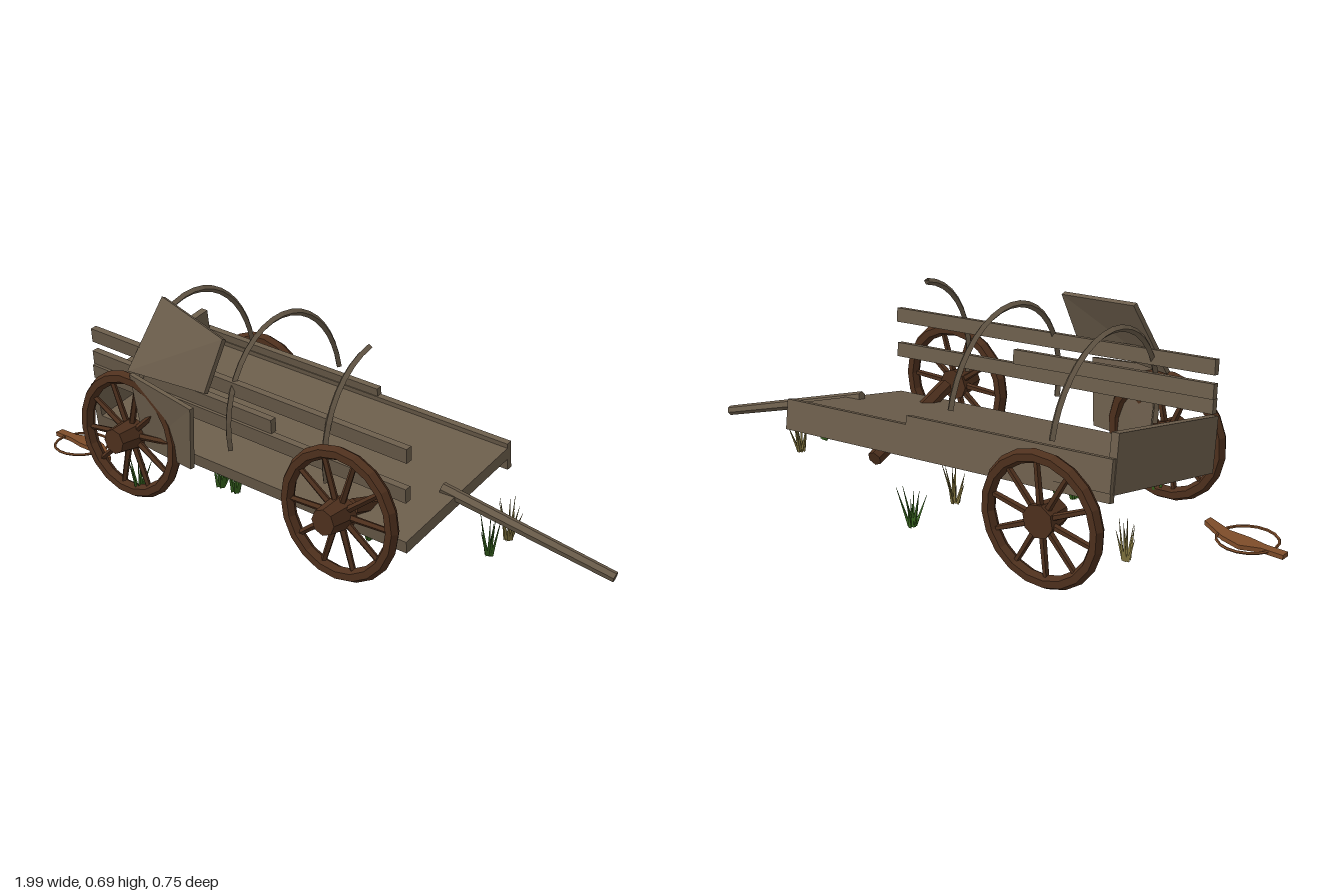
import * as THREE from 'three';

const mat = (name, color) => {
  const m = new THREE.MeshStandardMaterial({ color, flatShading: true, side: THREE.DoubleSide });
  m.name = name;
  return m;
};

export function createModel() {
  const root = new THREE.Group();
  root.name = 'brokenWagon';
  const wood = mat('weatheredWood', 0x6b5d4b);
  const dark = mat('darkWood', 0x4e301d);
  const tan = mat('tanWood', 0x7d4c29);
  const green = mat('greenGrass', 0x38651f);
  const dry = mat('dryGrass', 0x81743f);

  const add = (parent, name, geo, m, x = 0, y = 0, z = 0) => {
    const mesh = new THREE.Mesh(geo, m);
    mesh.name = name;
    mesh.position.set(x, y, z);
    parent.add(mesh);
    return mesh;
  };
  const box = (parent, name, m, size, pos) => add(parent, name, new THREE.BoxGeometry(...size), m, ...pos);

  // Straight pole between two points
  const pole = (parent, name, m, a, b, r0, r1, sides) => {
    const p = new THREE.Vector3(...a), q = new THREE.Vector3(...b);
    const d = q.clone().sub(p);
    const mesh = add(parent, name, new THREE.CylinderGeometry(r1, r0, d.length(), sides), m);
    mesh.position.copy(p).add(q).multiplyScalar(0.5);
    mesh.quaternion.setFromUnitVectors(new THREE.Vector3(0, 1, 0), d.normalize());
    return mesh;
  };

  // Board from four corners (counter-clockwise from its face) with a thickness
  const slab = (name, m, corners, t) => {
    const v = corners.map(c => new THREE.Vector3(...c));
    const n = v[2].clone().sub(v[0]).cross(v[3].clone().sub(v[1])).normalize().multiplyScalar(-t);
    const pts = [...v, ...v.map(c => c.clone().add(n))];
    const geo = new THREE.BufferGeometry().setFromPoints(pts);
    const idx = [0, 1, 2, 0, 2, 3, 4, 6, 5, 4, 7, 6];
    for (let i = 0; i < 4; i++) {
      const j = (i + 1) % 4;
      idx.push(i, i + 4, j, j, i + 4, j + 4);
    }
    geo.setIndex(idx);
    const flat = geo.toNonIndexed();
    flat.computeVertexNormals();
    add(root, name, flat, m);
  };

  // Sagging bed with tailboard and back side boards
  const bed = new THREE.Group();
  bed.name = 'wagonBed';
  bed.position.set(-0.09, 0.258, -0.02);
  bed.rotation.set(0.212, 0, -0.071);
  root.add(bed);
  box(bed, 'bedFloor', wood, [1.2, 0.04, 0.53], [0, 0, 0]);
  box(bed, 'tailboard', wood, [0.025, 0.17, 0.53], [-0.59, 0.047, 0]);
  box(bed, 'backSideBoard', wood, [1.2, 0.095, 0.02], [0, -0.012, -0.268]);
  box(bed, 'backShortBoard', wood, [0.72, 0.095, 0.02], [-0.24, 0.015, -0.271]);

  // Front side rails, the middle one broken off short
  for (const [name, x, y, len] of [
    ['upperRail', -0.085, 0.49, 1.2], ['brokenRail', -0.325, 0.433, 0.72], ['lowerRail', -0.085, 0.37, 1.2]]) {
    box(root, name, wood, [len, 0.046, 0.022], [x, y, 0.242]).rotation.set(0.15, 0, -0.071);
  }

  // Cover hoops: flat-sided half ellipses, the last one snapped at the top
  const hoop = (x, share) => {
    const pts = [];
    const steps = Math.round(20 * share);
    for (let i = 0; i <= steps; i++) {
      const a = Math.PI * i / 20;
      pts.push(new THREE.Vector3(0, 0.302 * Math.sin(a), 0.266 * Math.cos(a)));
    }
    const geo = new THREE.TubeGeometry(new THREE.CatmullRomCurve3(pts), steps, 0.0105, 4);
    add(root, 'coverHoop', geo, wood, x, 0.357, 0.005).rotation.x = 0.21;
  };
  hoop(-0.47, 1);
  hoop(-0.11, 1);
  hoop(0.25, 0.5);

  // Loose boards leaning on the front side
  slab('leaningBoard', wood, [[-0.5, 0.465, 0.292], [-0.16, 0.485, 0.32], [-0.13, 0.645, 0.268], [-0.44, 0.69, 0.192]], 0.015);
  slab('hangingBoard', wood, [[-0.45, 0.225, 0.28], [-0.23, 0.22, 0.312], [-0.2, 0.43, 0.34], [-0.47, 0.468, 0.315]], 0.015);

  // Spoked wheels
  const wheel = (x, y, z, turn) => {
    const g = new THREE.Group();
    g.name = 'wheel';
    g.position.set(x, y, z);
    g.rotation.z = turn;
    root.add(g);
    add(g, 'rim', new THREE.TorusGeometry(0.186, 0.0215, 6, 20), dark);
    add(g, 'hub', new THREE.CylinderGeometry(0.04, 0.052, 0.092, 8), dark, 0, 0, 0.027).rotation.x = Math.PI / 2;
    for (let i = 0; i < 10; i++) {
      const a = i * Math.PI / 5, c = Math.cos(a), s = Math.sin(a);
      pole(g, 'spoke', dark, [0.03 * c, 0.03 * s, 0], [0.185 * c, 0.185 * s, 0], 0.011, 0.009, 5);
    }
  };
  wheel(-0.495, 0.258, 0.296, 0.1);
  wheel(0.32, 0.234, 0.296, 0);
  wheel(-0.493, 0.208, -0.329, 0.2);

  // Broken axle and tongue
  pole(root, 'brokenAxle', dark, [0.325, 0.238, 0.245], [0.295, 0.115, -0.14], 0.025, 0.025, 6);
  pole(root, 'tongue', wood, [0.46, 0.243, -0.012], [0.99, 0.093, -0.097], 0.019, 0.016, 6);

  // Fallen yoke with its bow ring
  const yoke = new THREE.Shape([
    [-1, -0.12], [-0.93, -0.122], [-0.87, -0.1], [-0.8, -0.123], [-0.71, -0.18],
    [-0.712, -0.21], [-0.8, -0.17], [-0.87, -0.165], [-0.93, -0.152], [-1, -0.15]
  ].map(p => new THREE.Vector2(...p)));
  const yokeGeo = new THREE.ExtrudeGeometry(yoke, { depth: 0.014, bevelEnabled: false });
  add(root, 'yokeBeam', yokeGeo, tan, 0, 0.068, 0).rotation.x = -Math.PI / 2;
  add(root, 'yokeBow', new THREE.TorusGeometry(0.09, 0.0045, 5, 18), tan, -0.867, 0.077, 0.157).rotation.x = Math.PI / 2;

  // Grass tufts
  let seed = 7;
  const rnd = () => (seed = (seed * 16807) % 2147483647) / 2147483647;
  const tuft = (x, z, m, h) => {
    const g = new THREE.Group();
    g.name = 'grassTuft';
    g.position.set(x, 0.065, z);
    root.add(g);
    for (let i = 0; i < 9; i++) {
      const a = i * 2.4, lean = 0.008 + 0.035 * rnd(), r = 0.012 * rnd();
      const c = Math.cos(a), s = Math.sin(a);
      pole(g, 'blade', m, [r * c, 0, r * s], [(r + lean) * c, h * (0.55 + 0.45 * rnd()), (r + lean) * s], 0.006, 0.0005, 3);
    }
  };
  tuft(0.6, -0.155, dry, 0.15);
  tuft(0.61, -0.035, green, 0.13);
  tuft(0.28, 0.1, green, 0.13);
  tuft(-0.05, -0.355, green, 0.13);
  tuft(-0.04, -0.15, dry, 0.13);
  tuft(-0.24, 0.1, green, 0.13);
  tuft(-0.3, 0.1, green, 0.13);
  tuft(-0.47, 0.29, green, 0.13);
  tuft(-0.66, -0.15, dry, 0.13);

  return root;
}
